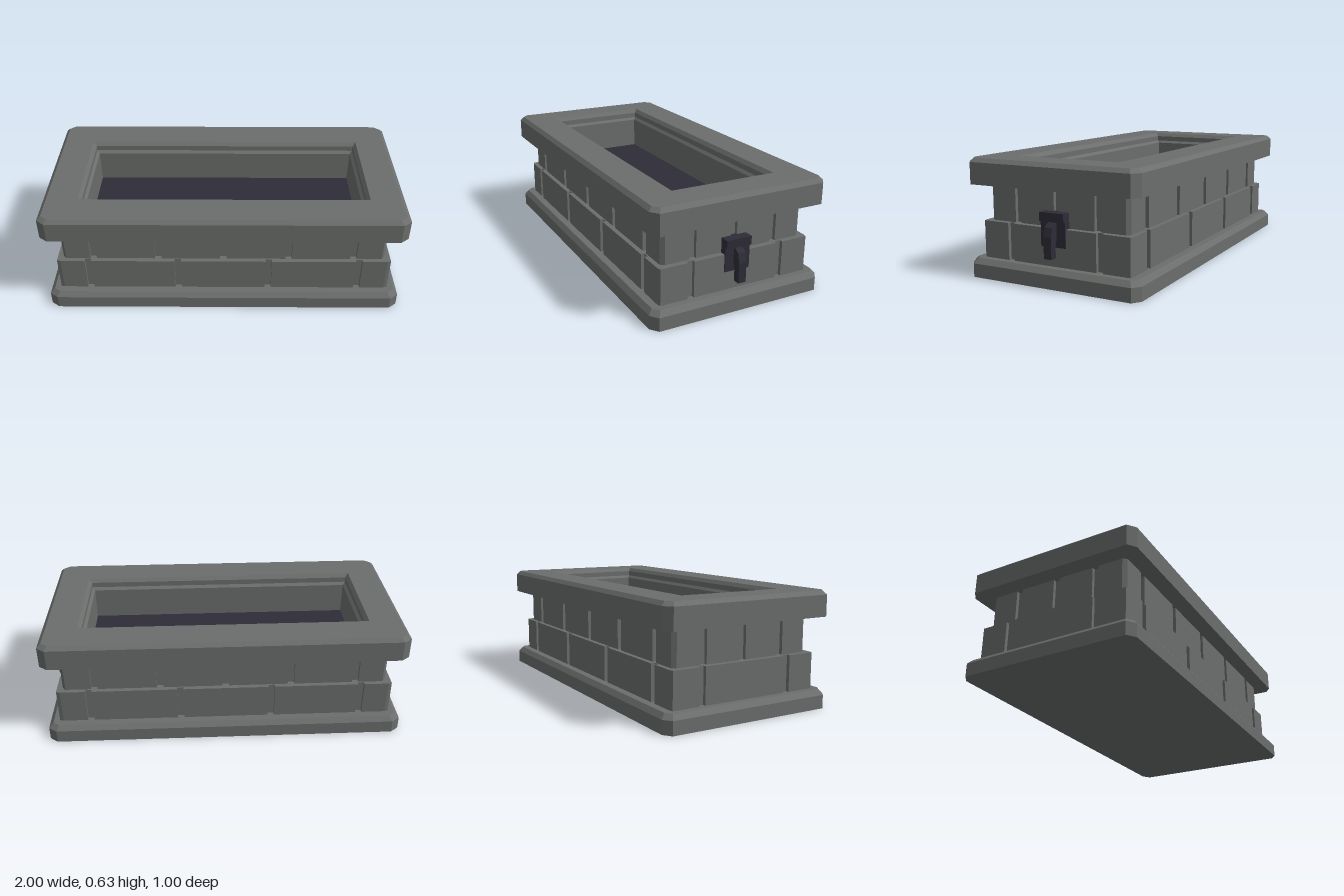
import * as THREE from 'three';

const stone = new THREE.MeshStandardMaterial({ color: 0x6b6e6c });
stone.name = 'stone grey';
const iron = new THREE.MeshStandardMaterial({ color: 0x2e2d38 });
iron.name = 'dark iron';

function add(group, name, geometry, material, x = 0, y = 0, z = 0) {
  const mesh = new THREE.Mesh(geometry, material);
  mesh.name = name;
  mesh.position.set(x, y, z);
  group.add(mesh);
  return mesh;
}

// Rectangle with cut corners, as eight points at one height
function ring([hx, hz, cx, cz, y]) {
  return [
    [hx - cx, hz], [hx, hz - cz], [hx, -hz + cz], [hx - cx, -hz],
    [-hx + cx, -hz], [-hx, -hz + cz], [-hx, hz - cz], [-hx + cx, hz],
  ].map(([x, z]) => new THREE.Vector3(x, y, z));
}

// Flat-shaded skin through a list of rings, optionally joined back or capped
function loft(profile, { closed = false, capped = false } = {}) {
  const rings = profile.map(ring);
  if (closed) rings.push(rings[0]);
  const out = [];
  const tri = (...points) => {
    const area = new THREE.Triangle(...points).getArea();
    if (area > 1e-8) points.forEach((p) => out.push(p.x, p.y, p.z));
  };
  for (let i = 0; i < rings.length - 1; i++) {
    const a = rings[i], b = rings[i + 1];
    for (let j = 0; j < 8; j++) {
      const k = (j + 1) % 8;
      tri(a[j], a[k], b[k]);
      tri(a[j], b[k], b[j]);
    }
  }
  if (capped) {
    const a = rings[0], b = rings[rings.length - 1];
    for (let j = 1; j < 7; j++) {
      tri(a[0], a[j + 1], a[j]);
      tri(b[0], b[j], b[j + 1]);
    }
  }
  const geometry = new THREE.BufferGeometry();
  geometry.setAttribute('position', new THREE.Float32BufferAttribute(out, 3));
  geometry.computeVertexNormals();
  return geometry;
}

// One course of blocks: a notched outline, extruded upward
function course({ hx, hz, cx, cz, front, side, height, hollow }) {
  const w = 0.018, depth = 0.02, points = [];
  const walk = (half, cut, joints, place) => {
    points.push(place(-half + cut, 0));
    for (const s of joints) {
      points.push(place(s - w, 0), place(s - w, depth), place(s + w, depth), place(s + w, 0));
    }
    points.push(place(half - cut, 0));
  };
  const flip = (joints) => joints.map((s) => -s).reverse();
  walk(hx, cx, front, (s, d) => new THREE.Vector2(s, -hz + d));
  walk(hz, cz, side, (s, d) => new THREE.Vector2(hx - d, s));
  walk(hx, cx, flip(front), (s, d) => new THREE.Vector2(-s, hz - d));
  walk(hz, cz, flip(side), (s, d) => new THREE.Vector2(-hx + d, -s));
  const shape = new THREE.Shape(points);
  if (hollow) {
    const [x, z] = hollow;
    shape.holes.push(new THREE.Path([[-x, -z], [-x, z], [x, z], [x, -z]].map((p) => new THREE.Vector2(...p))));
  }
  return new THREE.ExtrudeGeometry(shape, { depth: height, bevelEnabled: false }).rotateX(-Math.PI / 2);
}

export function createModel() {
  const model = new THREE.Group();
  model.name = 'stoneTrough';

  // Bevelled foot slab
  add(model, 'baseSlab', loft([
    [1, 0.5, 0.045, 0.034, 0],
    [1, 0.5, 0.045, 0.034, 0.073],
    [0.975, 0.478, 0.035, 0.028, 0.1],
  ], { capped: true }), stone);

  // Two courses of blocks with staggered joints
  add(model, 'lowerCourse', course({
    hx: 0.94, hz: 0.437, cx: 0.02, cz: 0.006, height: 0.195,
    front: [-0.766, -0.26, 0.253, 0.763], side: [-0.262, 0.262],
  }), stone, 0, 0.1);
  add(model, 'upperCourse', course({
    hx: 0.908, hz: 0.411, cx: 0.017, cz: 0.021, height: 0.195,
    front: [-0.735, -0.37, -0.003, 0.365, 0.73], side: [-0.236, 0, 0.236],
    hollow: [0.772, 0.267],
  }), stone, 0, 0.295);

  // Rim with a bevelled outside and a stepped opening
  add(model, 'rim', loft([
    [1, 0.5, 0.045, 0.034, 0.49],
    [1, 0.5, 0.045, 0.034, 0.605],
    [0.978, 0.48, 0.036, 0.03, 0.626],
    [0.805, 0.3, 0, 0, 0.626],
    [0.787, 0.282, 0, 0, 0.605],
    [0.787, 0.282, 0, 0, 0.575],
    [0.772, 0.267, 0, 0, 0.56],
    [0.772, 0.267, 0, 0, 0.49],
  ], { closed: true }), stone);

  // Dark floor of the basin
  add(model, 'basinFloor', new THREE.BoxGeometry(1.544, 0.085, 0.534), iron, 0, 0.3375);

  // Lever on the left end
  const lever = new THREE.Group();
  lever.name = 'lever';
  model.add(lever);
  add(lever, 'leverPlate', new THREE.BoxGeometry(0.05, 0.175, 0.144), iron, 0.921, 0.2885);
  add(lever, 'leverBracket', new THREE.BoxGeometry(0.06, 0.045, 0.144), iron, 0.93, 0.3535);
  const handle = new THREE.Shape([
    [0.93, 0.326], [0.96, 0.326], [0.984, 0.308], [0.996, 0.26], [0.996, 0.15],
    [0.957, 0.15], [0.957, 0.215], [0.945, 0.25], [0.93, 0.25],
  ].map((p) => new THREE.Vector2(...p)));
  add(lever, 'leverHandle', new THREE.ExtrudeGeometry(handle, { depth: 0.044, bevelEnabled: false }),
    iron, 0, 0, -0.022);

  return model;
}
